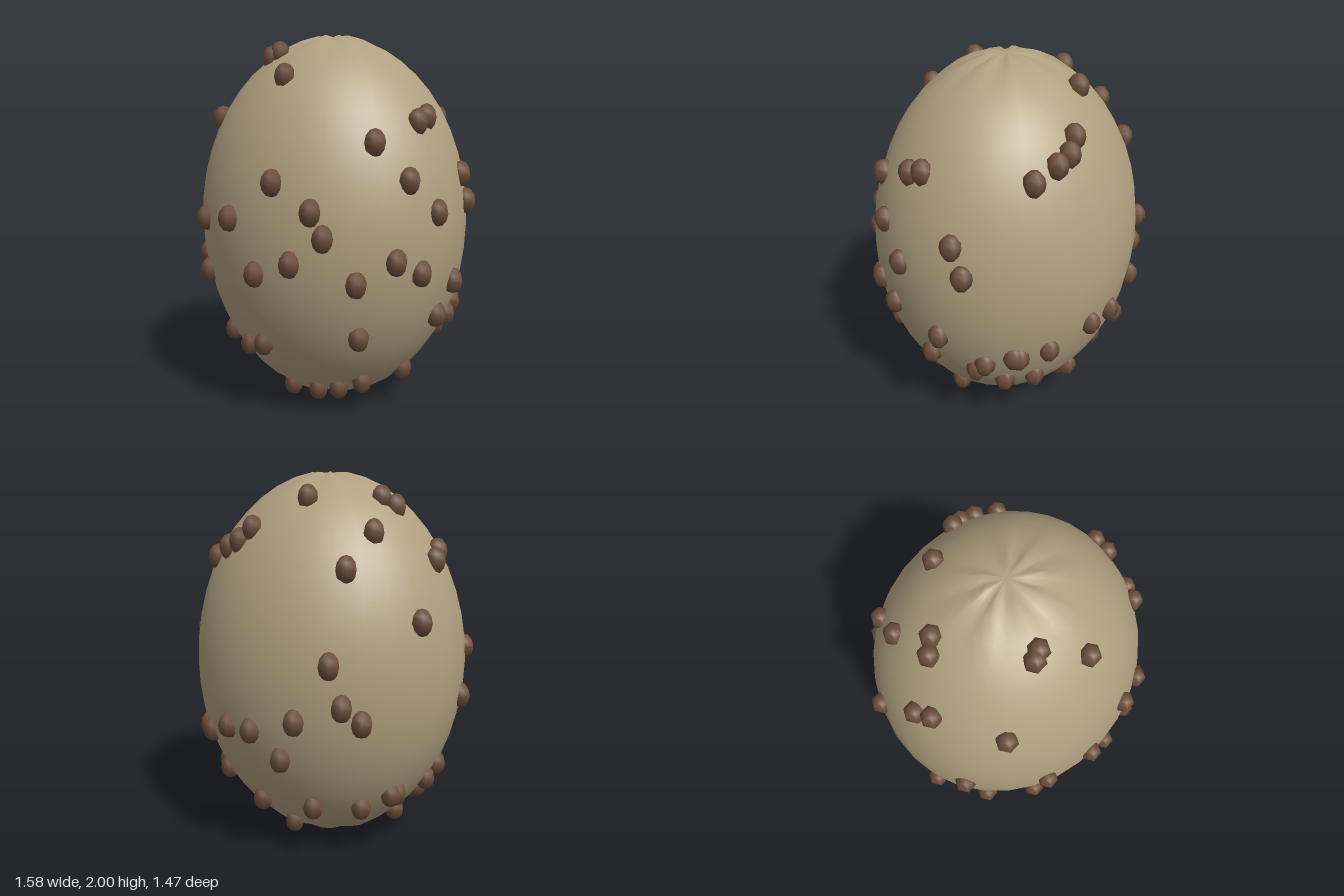
import * as THREE from 'three';
import { mergeVertices } from 'three/addons/utils/BufferGeometryUtils.js';

const RX = 0.755, RY = 0.995, RZ = 0.705, CY = 1.0;

// Third coordinate of a point on the egg surface, from the other two.
const solve = (a, ra, b, rb, rc) =>
  rc * Math.sqrt(Math.max(0, 1 - (a / ra) ** 2 - (b / rb) ** 2));

// Egg-shaped body with slight unevenness and gathered creases at both poles.
function bodyGeometry() {
  const sphere = new THREE.SphereGeometry(1, 32, 24);
  sphere.deleteAttribute('uv');
  sphere.deleteAttribute('normal');
  const geometry = mergeVertices(sphere, 1e-4);
  const p = geometry.attributes.position;
  for (let i = 0; i < p.count; i++) {
    const x = p.getX(i), y = p.getY(i), z = p.getZ(i);
    const angle = Math.atan2(z, x);
    const ring = Math.hypot(x, z);
    const crease = ring > 0.01 ? 0.012 * Math.sin(9 * angle + 2 * y) * Math.max(0, Math.abs(y) - 0.8) * 5 : 0;
    const uneven = ring > 0.01 ? 0.005 * Math.sin(3 * angle + 4 * y) : 0;
    const k = 1 + uneven;
    p.setXYZ(i, x * RX * k, CY + y * RY + crease, z * RZ * k);
  }
  geometry.computeVertexNormals();
  return geometry;
}

export function createModel() {
  const model = new THREE.Group();
  const tan = new THREE.MeshStandardMaterial({ color: 0xb0a080 });
  tan.name = 'tan skin';
  const brown = new THREE.MeshStandardMaterial({ color: 0x6b4e3a });
  brown.name = 'brown knob';

  const body = new THREE.Mesh(bodyGeometry(), tan);
  body.name = 'body';
  model.add(body);

  // Small six-sided knobs, grouped by the side of the body they sit on.
  const knobGeometry = new THREE.SphereGeometry(0.056, 6, 6).scale(1, 1.22, 1);
  function addKnobs(name, pairs, place) {
    const group = new THREE.Group();
    group.name = name;
    for (const [a, b] of pairs) {
      const knob = new THREE.Mesh(knobGeometry, brown);
      knob.name = 'knob';
      knob.position.set(...place(a, b));
      group.add(knob);
    }
    model.add(group);
  }

  // x, z
  addKnobs('topKnobs', [
    [-0.16, 0.31], [-0.12, 0.295], [0.055, 0.45], [-0.445, 0.41], [-0.375, -0.1],
    [-0.435, -0.06], [-0.105, -0.35], [-0.445, -0.295], [-0.4, -0.47], [0.14, -0.48],
    [0.21, -0.5], [0.29, -0.485], [0.41, -0.44], [0.545, 0.37], [0.62, 0.04],
    [0.62, 0.12], [-0.63, 0], [-0.6, 0.085],
  ], (x, z) => [x, CY + solve(x, RX, z, RZ, RY), z]);
  addKnobs('bottomKnobs', [
    [-0.03, 0.31], [0.14, 0.3], [0.255, 0.27], [0.37, 0.22], [0.465, -0.02],
    [-0.43, 0], [-0.48, 0.17], [-0.43, 0.21], [0.1, -0.49], [-0.02, -0.37],
    [-0.21, -0.47], [-0.41, -0.33],
  ], (x, z) => [x, CY - solve(x, RX, z, RZ, RY), z]);

  // x, y
  addKnobs('frontKnobs', [
    [0.16, 1.26], [0.355, 1.13], [0.41, 1.01], [-0.36, 1.04], [-0.105, 1.07],
    [-0.4, 0.745], [0.06, 0.81], [0.26, 0.88], [0.525, 0.79], [0.485, 0.5],
    [0, 0.415], [-0.13, 0.38], [-0.385, 0.375], [-0.6, 0.79], [-0.67, 1.07],
    [0.67, 1.27], [0.655, 0.89],
  ], (x, y) => [x, y, solve(x, RX, y - CY, RY, RZ)]);
  addKnobs('backKnobs', [
    [-0.39, 1.09], [-0.44, 0.89], [-0.51, 0.81], [-0.23, 0.81], [0.02, 0.735],
    [0.18, 0.73], [-0.13, 0.6], [0.395, 0.64], [0.37, 0.4],
  ], (x, y) => [x, y, -solve(x, RX, y - CY, RY, RZ)]);

  // z, y
  addKnobs('leftKnobs', [
    [0.115, 1.11], [-0.18, 1.275], [-0.24, 1.13], [0.205, 0.82], [-0.09, 0.73],
    [0, 0.56], [-0.235, 0.5], [-0.29, 0.56], [-0.42, 0.62], [-0.44, 0.61], [-0.33, 0.39],
  ], (z, y) => [solve(z, RZ, y - CY, RY, RX), y, z]);
  addKnobs('rightKnobs', [
    [-0.24, 1.27], [0.15, 0.84], [0.13, 0.445], [0.03, 0.39], [-0.235, 0.37],
    [-0.2, 0.37],
  ], (z, y) => [-solve(z, RZ, y - CY, RY, RX), y, z]);

  return model;
}
